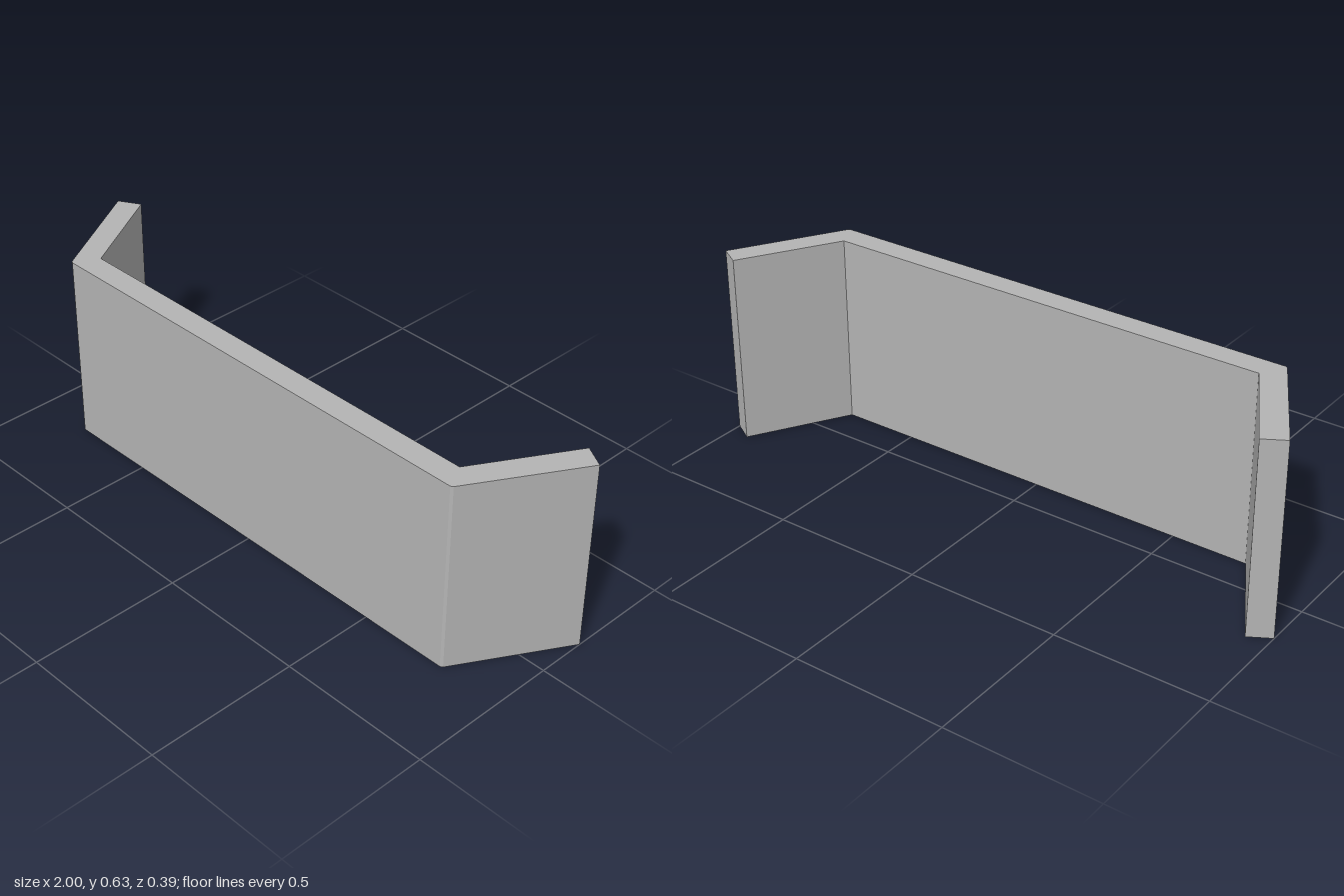
import * as THREE from 'three';

const HEIGHT = 0.63;

export function createModel() {
  const group = new THREE.Group();
  group.name = 'angledPanel';
  const grey = new THREE.MeshStandardMaterial({ color: 0xb4b4b4 });
  grey.name = 'plain grey';

  // Right half of the plan as [x, z]: front edge, narrow corner chamfer, wing end, inner corner
  const half = [[0.79, 0.197], [0.798, 0.192], [1, -0.157], [0.931, -0.197], [0.75, 0.117]];
  const mirrored = half.map(([x, z]) => [-x, z]).reverse();
  const plan = new THREE.Shape([...half, ...mirrored].map(([x, z]) => new THREE.Vector2(x, -z)));

  // Front panel and both swept-back wings, one constant-height wall
  const geometry = new THREE.ExtrudeGeometry(plan, { depth: HEIGHT, bevelEnabled: false });
  geometry.rotateX(-Math.PI / 2);
  const wall = new THREE.Mesh(geometry, grey);
  wall.name = 'panelWithWings';
  group.add(wall);
  return group;
}
